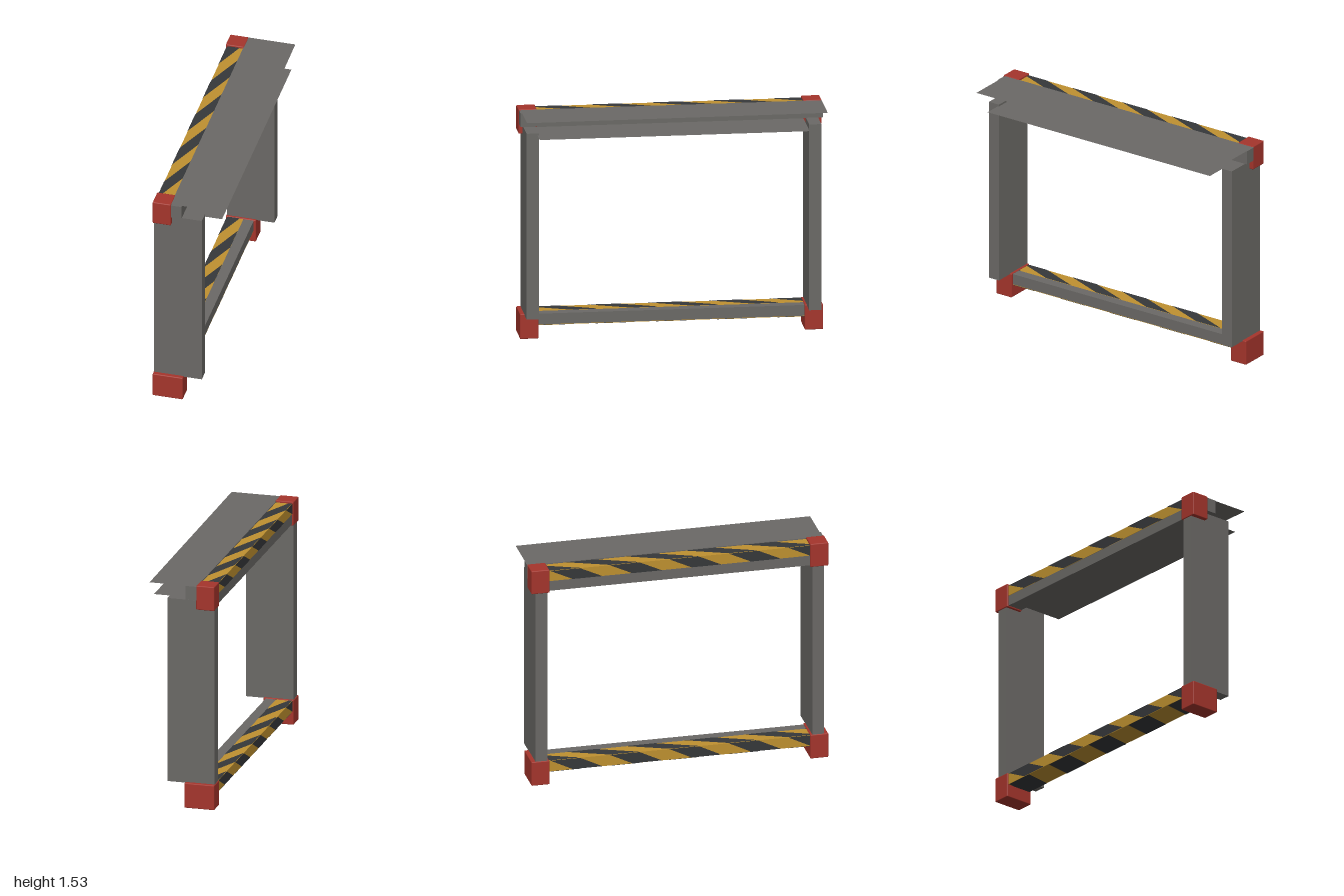
import * as THREE from 'three';
import { RoundedBoxGeometry } from 'three/addons/geometries/RoundedBoxGeometry.js';

const mat = (name, color, side = THREE.FrontSide) => {
  const m = new THREE.MeshStandardMaterial({ color, side });
  m.name = name;
  return m;
};

export function createModel() {
  const group = new THREE.Group();
  const red = mat('corner red', 0xa5352c);
  const grey = mat('frame grey', 0x6b6966, THREE.DoubleSide);
  const yellow = mat('hazard yellow', 0xbf9130);
  const dark = mat('hazard dark', 0x36383a, THREE.DoubleSide);

  const add = (name, geometry, material) => {
    const mesh = new THREE.Mesh(geometry, material);
    mesh.name = name;
    group.add(mesh);
    return mesh;
  };
  // Box given by its minimum and maximum on each axis
  const box = (name, material, [x0, x1], [y0, y1], [z0, z1], bevel = 0) => {
    const size = [x1 - x0, y1 - y0, z1 - z0];
    const g = bevel ? new RoundedBoxGeometry(...size, 1, bevel) : new THREE.BoxGeometry(...size);
    g.translate((x0 + x1) / 2, (y0 + y1) / 2, (z0 + z1) / 2);
    return add(name, g, material);
  };

  // Slanted dark bands on one face of a rail; place(v, z) maps v = 0..1 across the face
  const bands = (name, place, slant, start, period = 0.4, end = 0.89) => {
    const positions = [], slices = 8;
    for (let k = -4; k <= 5; k++) {
      for (let i = 0; i < slices; i++) {
        const corner = (v, offset) => {
          const z = start + k * period + offset - slant * v;
          return place(v, THREE.MathUtils.clamp(z, -end, end));
        };
        const h = period / 4, v0 = i / slices, v1 = (i + 1) / slices;
        const a = corner(v0, -h), b = corner(v0, h), c = corner(v1, h), d = corner(v1, -h);
        if (a[2] === b[2] && c[2] === d[2]) continue;
        positions.push(...a, ...b, ...c, ...a, ...c, ...d);
      }
    }
    const g = new THREE.BufferGeometry();
    g.setAttribute('position', new THREE.Float32BufferAttribute(positions, 3));
    g.computeVertexNormals();
    add(name, g, dark);
  };

  // Columns and red corner blocks at both ends
  for (const s of [1, -1]) {
    const span = (a, b) => (s > 0 ? [a, b] : [-b, -a]);
    box('column', grey, [-0.225, 0.097], [0.165, 1.425], span(0.892, 0.972));
    box('lowerCorner', red, [-0.23, -0.025], [0, 0.17], span(0.878, 1), 0.006);
    box('upperCorner', red, [-0.23, -0.106], [1.37, 1.535], span(0.878, 1), 0.006);
  }

  // Lower rail: striped outer half, grey inner half, striped underside
  const length = [-0.9, 0.9];
  box('lowerRail', yellow, [-0.22, -0.11], [0.092, 0.165], length);
  box('lowerRailInner', grey, [-0.11, -0.04], [0.092, 0.165], length);
  box('lowerRailUnderside', yellow, [-0.22, -0.04], [0.089, 0.092], length);
  bands('lowerTopBands', (v, z) => [-0.22 + 0.11 * v, 0.167, z], 0.27, 0.03);
  bands('lowerSideBands', (v, z) => [-0.222, 0.165 - 0.075 * v, z], -0.15, 0.03);
  bands('lowerUndersideBands', (v, z) => [-0.22 + 0.18 * v, 0.087, z], 0.03, 0.03);

  // Upper rail: striped cap above a grey web
  box('upperRail', yellow, [-0.22, -0.11], [1.45, 1.522], length);
  box('upperRailWeb', grey, [-0.218, -0.11], [1.38, 1.45], length);
  bands('upperTopBands', (v, z) => [-0.22 + 0.11 * v, 1.524, z], 0.27, 0.03);
  bands('upperSideBands', (v, z) => [-0.222, 1.522 - 0.072 * v, z], -0.15, 0.03);

  // Beam carrying the roof sheets
  box('upperBeam', grey, [-0.11, -0.035], [1.435, 1.528], [-1, 0.995]);

  // Thin horizontal sheets
  const sheet = (name, y, xBack, xFront, zBack, zFront) => {
    const shape = new THREE.Shape([
      new THREE.Vector2(-0.11, -zFront), new THREE.Vector2(xFront, -zFront),
      new THREE.Vector2(xBack, -zBack), new THREE.Vector2(-0.11, -zBack),
    ]);
    add(name, new THREE.ShapeGeometry(shape).rotateX(-Math.PI / 2).translate(0, y, 0), grey);
  };
  sheet('upperSheet', 1.531, 0.21, 0.222, -1, 0.985);
  sheet('lowerSheet', 1.412, 0.215, 0.215, -0.88, 0.9);

  return group;
}
